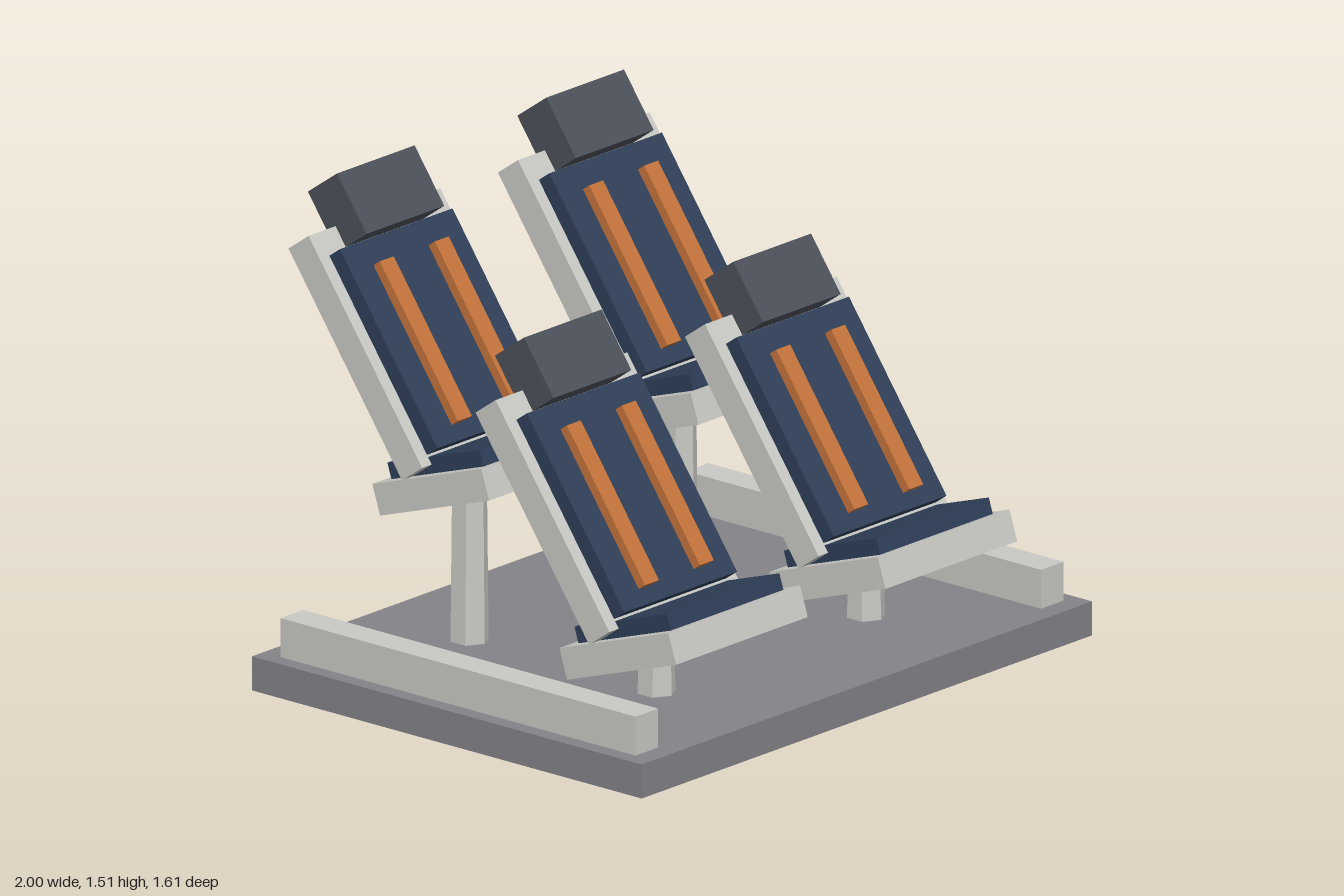
import * as THREE from 'three';

const mat = (name, color) => {
  const m = new THREE.MeshStandardMaterial({ color });
  m.name = name;
  return m;
};

export function createModel() {
  const shell = mat('pale grey shell', 0xc8c8c4);
  const platformGrey = mat('platform grey', 0x838388);
  const navy = mat('navy upholstery', 0x2e3f57);
  const orange = mat('orange trim', 0xc4733a);
  const charcoal = mat('charcoal headrest', 0x4c5059);

  const model = new THREE.Group();
  model.name = 'seatingPlatform';

  const box = (parent, name, material, size, pos) => {
    const mesh = new THREE.Mesh(new THREE.BoxGeometry(...size), material);
    mesh.name = name;
    mesh.position.set(...pos);
    parent.add(mesh);
    return mesh;
  };

  // Platform with a rail along each side
  box(model, 'platform', platformGrey, [2, 0.105, 1.515], [0, 0.0525, 0.05]);
  for (const s of [-1, 1]) {
    box(model, s > 0 ? 'leftRail' : 'rightRail', shell, [0.1, 0.12, 1.38], [s * 0.9, 0.165, 0.05]);
  }

  // One reclined seat; its origin sits at the centre of the seat pan
  const makeSeat = (postHeight) => {
    const seat = new THREE.Group();

    // Tapered six-sided post, standing on the platform
    const post = new THREE.Mesh(
      new THREE.CylinderGeometry(0.053, 0.059, postHeight, 6).toNonIndexed(), shell);
    post.geometry.computeVertexNormals();
    post.name = 'post';
    post.position.set(0, 0.02 - postHeight / 2, -0.105);
    seat.add(post);

    // Seat pan and cushion, front edge raised
    const bottom = new THREE.Group();
    bottom.name = 'seatBottom';
    bottom.rotation.x = -0.318;
    box(bottom, 'seatPan', shell, [0.585, 0.096, 0.446], [0, 0, 0]);
    box(bottom, 'seatCushion', navy, [0.5, 0.05, 0.378], [0, 0.073, 0.005]);
    seat.add(bottom);

    // Backrest leaning rearward, with pad, two stripes and headrest
    const back = new THREE.Group();
    back.name = 'backrest';
    back.position.set(0, 0.349, -0.293);
    back.rotation.x = -0.62;
    box(back, 'backShell', shell, [0.585, 0.76, 0.096], [0, 0, 0]);
    box(back, 'backPad', navy, [0.5, 0.652, 0.05], [0, -0.022, 0.073]);
    for (const s of [-1, 1]) {
      box(back, 'stripe', orange, [0.062, 0.523, 0.03], [s * 0.122, -0.036, 0.113]);
    }
    box(back, 'headrest', charcoal, [0.345, 0.198, 0.139], [0, 0.411, 0.078]);
    seat.add(back);
    return seat;
  };

  // Two rows of two seats, the rear row raised
  const rows = [
    { name: 'front', y: 0.31, z: 0.502 },
    { name: 'rear', y: 0.656, z: -0.225 },
  ];
  for (const row of rows) {
    for (const s of [-1, 1]) {
      const seat = makeSeat(row.y + 0.02 - 0.1);
      seat.name = row.name + (s > 0 ? 'LeftSeat' : 'RightSeat');
      seat.position.set(s * 0.465, row.y, row.z);
      model.add(seat);
    }
  }
  return model;
}
